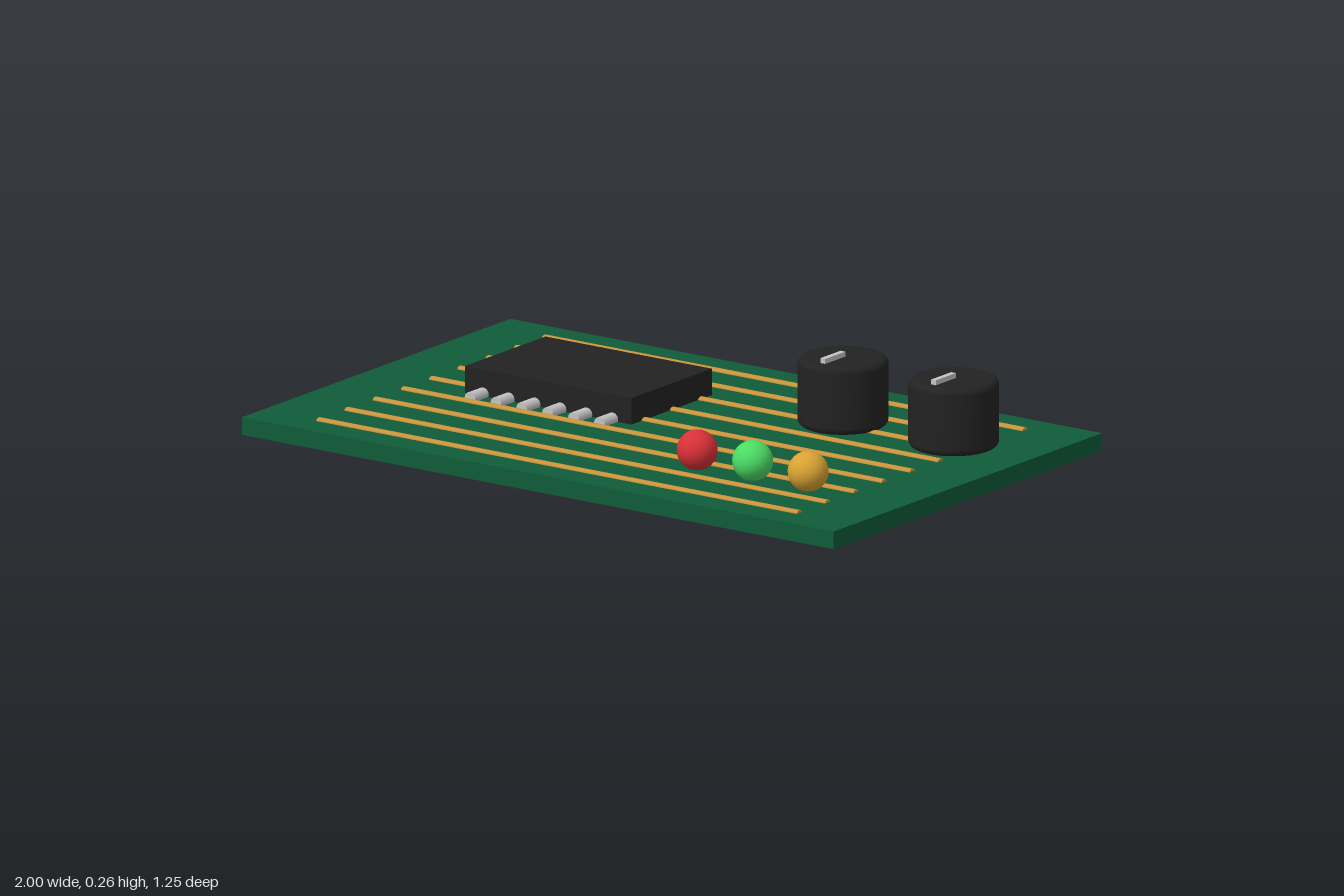
import * as THREE from 'three';

const mat = (name, color) => {
  const m = new THREE.MeshStandardMaterial({ color });
  m.name = name;
  return m;
};

export function createModel() {
  const green = mat('board green', 0x0f5c39);
  const copper = mat('trace copper', 0xc8923a);
  const black = mat('plastic black', 0x222222);
  const silver = mat('pin silver', 0xc4c4c4);
  const red = mat('light red', 0xd93038);
  const lime = mat('light green', 0x4bdc64);
  const amber = mat('light amber', 0xd9a334);

  const model = new THREE.Group();
  model.name = 'circuitBoard';
  const add = (name, geometry, material, x, y, z, parent = model) => {
    const mesh = new THREE.Mesh(geometry, material);
    mesh.name = name;
    mesh.position.set(x, y, z);
    parent.add(mesh);
    return mesh;
  };

  // Base board
  add('board', new THREE.BoxGeometry(2, 0.05, 1.25), green, 0, 0.025, 0);

  // Nine copper traces, half sunk into the board
  const traceGeo = new THREE.CylinderGeometry(0.0125, 0.0125, 1.625, 12).rotateZ(Math.PI / 2).scale(1, 0.65, 1);
  for (let i = 0; i < 9; i++) add('trace', traceGeo, copper, 0, 0.05, (i - 4) * 0.1313);

  // Chip with six round pins on each long side
  const chip = new THREE.Group();
  chip.name = 'chip';
  chip.position.set(-0.375, 0, -0.127);
  model.add(chip);
  add('chipBody', new THREE.BoxGeometry(0.5625, 0.075, 0.375), black, 0, 0.0875, 0, chip);
  const pinGeo = new THREE.CylinderGeometry(0.0185, 0.0185, 0.09, 12).rotateX(Math.PI / 2);
  for (const side of [-1, 1])
    for (let i = 0; i < 6; i++) add('pin', pinGeo, silver, (i - 2.5) * 0.0875, 0.056, side * 0.205, chip);

  // Two knobs with rounded rims and pointer marks
  const r = 0.125, b = 0.02, top = 0.194;
  const profile = [new THREE.Vector2(0, 0)];
  for (const [cy, start] of [[b, -Math.PI / 2], [top - b, 0]])
    for (let i = 0; i <= 4; i++) {
      const a = start + (i / 4) * Math.PI / 2;
      profile.push(new THREE.Vector2(r - b + b * Math.cos(a), cy + b * Math.sin(a)));
    }
  profile.push(new THREE.Vector2(0, top));
  const knobGeo = new THREE.LatheGeometry(profile, 36);
  for (const x of [0.374, 0.748]) {
    const knob = new THREE.Group();
    knob.name = 'knob';
    knob.position.set(x, 0.05, -0.281);
    model.add(knob);
    add('knobCap', knobGeo, black, 0, 0, 0, knob);
    add('pointer', new THREE.BoxGeometry(0.016, 0.02, 0.094), silver, 0, 0.198, 0.047, knob);
  }

  // Indicator lights
  const lightGeo = new THREE.SphereGeometry(0.0565, 24, 16);
  [red, lime, amber].forEach((m, i) => add('indicatorLight', lightGeo, m, 0.311 + i * 0.1875, 0.1, 0.311));

  return model;
}
